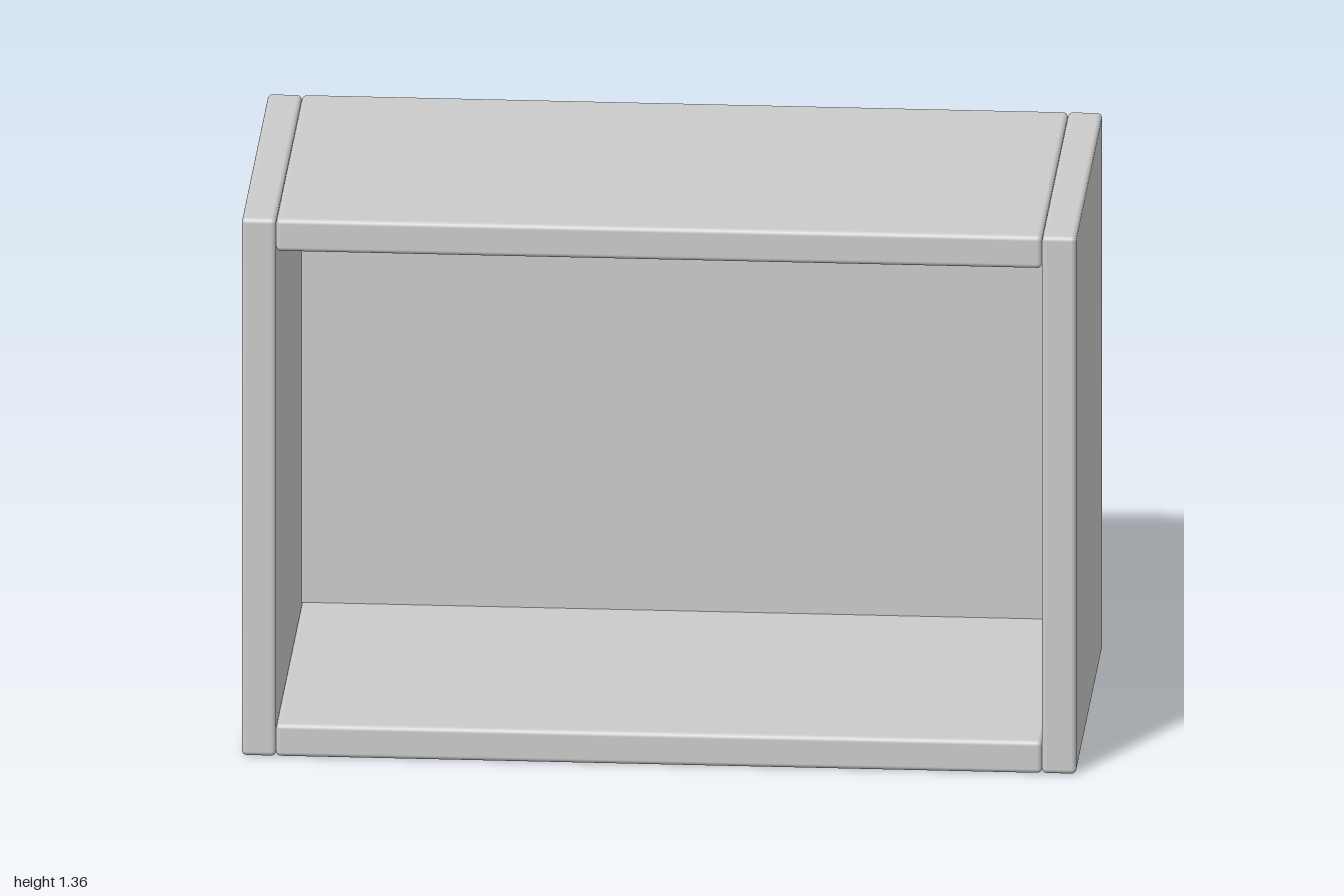
import * as THREE from 'three';
import { RoundedBoxGeometry } from 'three/addons/geometries/RoundedBoxGeometry.js';

const W = 2, H = 1.36, D = 0.92; // overall size
const T = 0.082;                 // board thickness
const R = 0.012;                 // rounded board edges

export function createModel() {
  const group = new THREE.Group();
  group.name = 'openBoxShelf';
  const material = new THREE.MeshStandardMaterial({ color: 0xcccccc });

  function add(name, geometry, x, y, z) {
    const mesh = new THREE.Mesh(geometry, material);
    mesh.name = name;
    mesh.position.set(x, y, z);
    group.add(mesh);
  }
  const board = (w, h, d) => new RoundedBoxGeometry(w, h, d, 3, R);

  // Full-height side boards
  for (const [name, s] of [['leftSide', 1], ['rightSide', -1]]) {
    add(name, board(T, H, D), s * (W - T) / 2, H / 2, 0);
  }

  // Top and bottom boards held between the sides
  const inner = W - 2 * T;
  add('bottomBoard', board(inner, T, D), 0, T / 2, 0);
  add('topBoard', board(inner, T, D), 0, H - T / 2, 0);

  // Thin back panel, set just inside the rear edges
  add('backPanel', new THREE.BoxGeometry(inner, H - 2 * T, 0.015), 0, H / 2, -D / 2 + 0.0185);

  return group;
}
